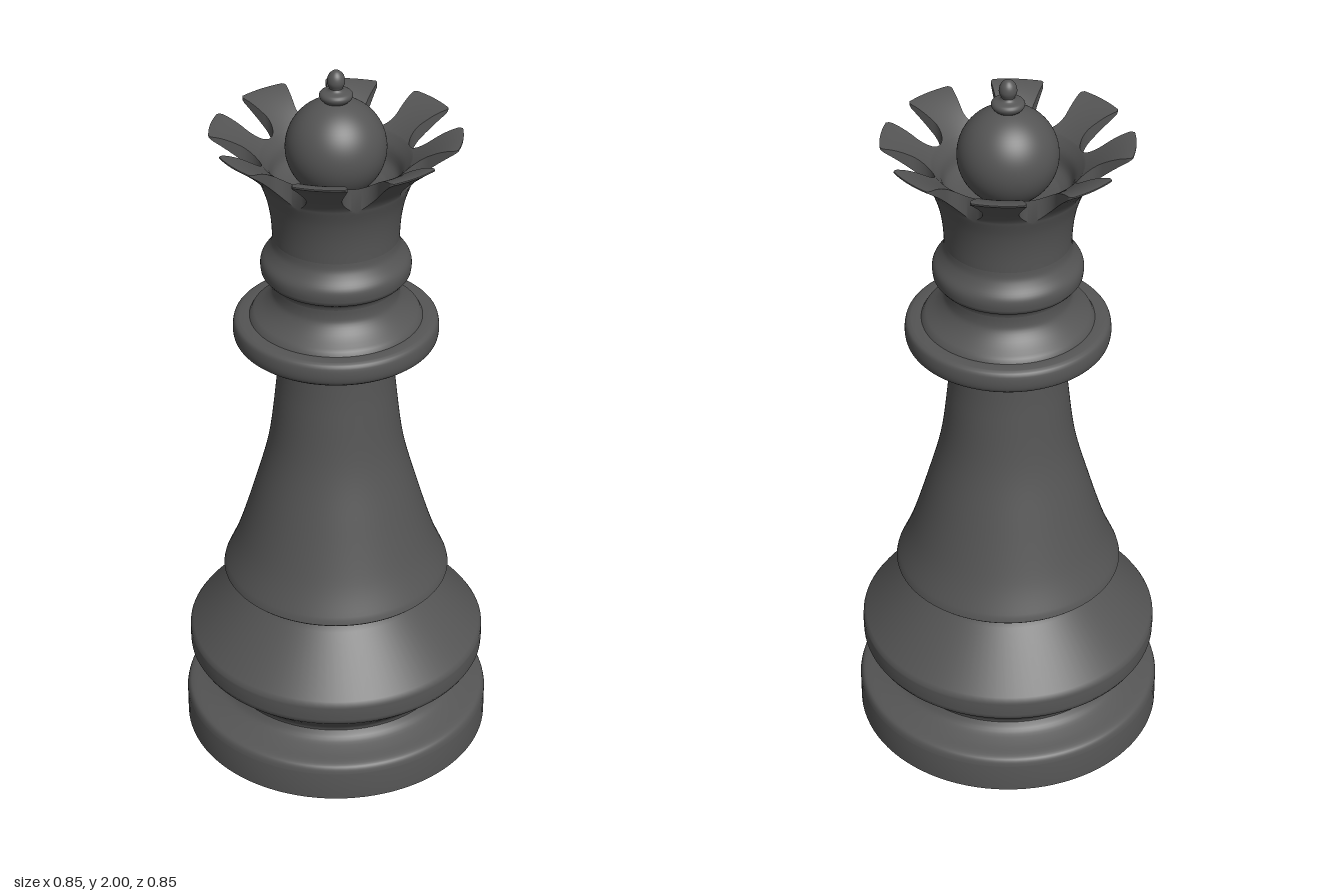
import * as THREE from 'three';
import { mergeGeometries, toCreasedNormals } from 'three/addons/utils/BufferGeometryUtils.js';

const SIDES = 96;
const stone = new THREE.MeshStandardMaterial({ color: 0x555555 });
stone.name = 'dark grey';

const v = (list) => list.map(([r, y]) => new THREE.Vector2(r, y));
const curve = (list, n = 16) => new THREE.SplineCurve(v(list)).getPoints(n);

// Smooth normals with sharp edges; enlarged meanwhile so close vertices stay apart
function crease(geometry, angle = 0.55) {
  geometry.scale(100, 100, 100);
  const out = toCreasedNormals(geometry, angle);
  out.scale(0.01, 0.01, 0.01);
  return out;
}

function turned(points) {
  const g = new THREE.LatheGeometry(points, SIDES).toNonIndexed();
  g.deleteAttribute('uv');
  return g;
}

// Crown teeth: a flared rim with eight round-ended notches cut straight down
const R0 = 0.195, R1 = 0.322, C = 0.243, W = R0 - C;
const innerY = (r) => 1.83 - 0.065 * Math.pow((R1 - r) / (R1 - R0), 1.6);
const outerY = (r) => 1.70 + 0.126 * Math.pow((r - R0) / (R1 - R0), 0.75);

// Angle from a notch's axis to its edge at radius r
function notchAngle(r) {
  const bend = Math.hypot(C, W);
  if (r < bend) return Math.acos(Math.min(1, (r * r + C * C - W * W) / (2 * C * r)));
  const corner = Math.max(0, (r - 0.31) / 0.012);
  return Math.asin((-W + 0.08 * (r - bend) + 0.008 * corner * corner) / r);
}

function teethGeometry() {
  const pos = [], rows = 32, cols = SIDES / 8, step = Math.PI / 4;
  const quad = (a, b, c, d) => pos.push(...a, ...b, ...c, ...a, ...c, ...d);
  const radius = (i) => R0 + (R1 - R0) * Math.pow(i / rows, 1.5);
  for (let k = 0; k < 8; k++) {
    const point = (i, j, height) => {
      const r = radius(i), a = notchAngle(r);
      const t = k * step + a + (step - 2 * a) * j / cols;
      return [r * Math.sin(t), height(r), r * Math.cos(t)];
    };
    const outer = (i, j) => point(i, j, outerY);
    const inner = (i, j) => point(i, j, innerY);
    for (let i = 0; i < rows; i++) {
      for (let j = 0; j < cols; j++) {
        quad(outer(i, j), outer(i, j + 1), outer(i + 1, j + 1), outer(i + 1, j));
        quad(inner(i, j), inner(i + 1, j), inner(i + 1, j + 1), inner(i, j + 1));
      }
      // notch walls
      quad(outer(i + 1, cols), outer(i, cols), inner(i, cols), inner(i + 1, cols));
      quad(outer(i, 0), outer(i + 1, 0), inner(i + 1, 0), inner(i, 0));
    }
    // thin outer lip
    for (let j = 0; j < cols; j++) {
      quad(outer(rows, j), outer(rows, j + 1), inner(rows, j + 1), inner(rows, j));
    }
  }
  const g = new THREE.BufferGeometry();
  g.setAttribute('position', new THREE.Float32BufferAttribute(pos, 3));
  g.computeVertexNormals();
  return g;
}

export function createModel() {
  const group = new THREE.Group();
  const add = (name, geometry) => {
    const mesh = new THREE.Mesh(crease(geometry), stone);
    mesh.name = name;
    group.add(mesh);
  };

  // Foot with rounded shoulder
  add('base', turned([
    ...v([[0, 0], [0.418, 0], [0.425, 0.006]]),
    ...curve([[0.425, 0.09], [0.42, 0.106], [0.408, 0.115], [0.37, 0.126], [0.335, 0.14], [0.318, 0.16]], 20),
  ]));

  // Double-cone bulge above the foot
  add('lowerBulge', turned([
    ...curve([[0.318, 0.16], [0.322, 0.172], [0.335, 0.188]], 6),
    ...v([[0.403, 0.25]]),
    ...curve([[0.41, 0.262], [0.411, 0.288], [0.41, 0.312]], 6),
    ...v([[0.402, 0.324], [0.265, 0.455]]),
    ...curve([[0.25, 0.475], [0.244, 0.49], [0.25, 0.508]], 6),
  ]));

  // Flared stem
  add('stem', turned([
    ...v([[0.25, 0.508], [0.306, 0.508], [0.311, 0.513]]),
    ...curve([[0.308, 0.525], [0.27, 0.615], [0.225, 0.76], [0.183, 0.917], [0.162, 1.075], [0.155, 1.16], [0.155, 1.19]], 36),
  ]));

  // Wide collar ring
  add('collar', turned([
    ...curve([[0.155, 1.19], [0.165, 1.207], [0.2, 1.22], [0.24, 1.233]], 10),
    ...curve([[0.255, 1.236], [0.268, 1.248], [0.272, 1.27], [0.268, 1.295], [0.255, 1.304]], 16),
    ...v([[0.228, 1.304]]),
    ...curve([[0.222, 1.315], [0.19, 1.34], [0.17, 1.365], [0.165, 1.385], [0.165, 1.405]], 14),
  ]));

  // Small ring under the crown
  add('neckRing', turned([
    ...curve([[0.165, 1.405], [0.17, 1.418], [0.188, 1.43]], 6),
    ...curve([[0.195, 1.44], [0.197, 1.46], [0.193, 1.478], [0.178, 1.5], [0.168, 1.52], [0.165, 1.54]], 18),
  ]));

  // Crown: neck, teeth and hollow bowl in one shell
  add('crown', mergeGeometries([
    turned(curve([[0.165, 1.54], [0.167, 1.58], [0.172, 1.62], [0.181, 1.66], [R0, 1.70]], 14)),
    teethGeometry(),
    turned([...curve([[R0, 1.765], [0.172, 1.735], [0.158, 1.70], [0.13, 1.68]], 12), ...v([[0, 1.68]])]),
  ]));

  // Dome in the crown
  const dome = [];
  for (let i = 0; i <= 28; i++) {
    const a = -1.0 + (i / 28) * 2.33;
    dome.push(new THREE.Vector2(0.13 * Math.cos(a), 1.79 + 0.13 * Math.sin(a)));
  }
  add('dome', turned(dome));

  // Finial: small disc and bud
  add('finial', turned([
    ...curve([[0.028, 1.914], [0.038, 1.922], [0.043, 1.932], [0.038, 1.941], [0.022, 1.946], [0.017, 1.952]], 14),
    ...curve([[0.018, 1.955], [0.023, 1.968], [0.02, 1.985], [0.01, 1.997], [0, 2.0]], 14),
  ]));

  return group;
}
